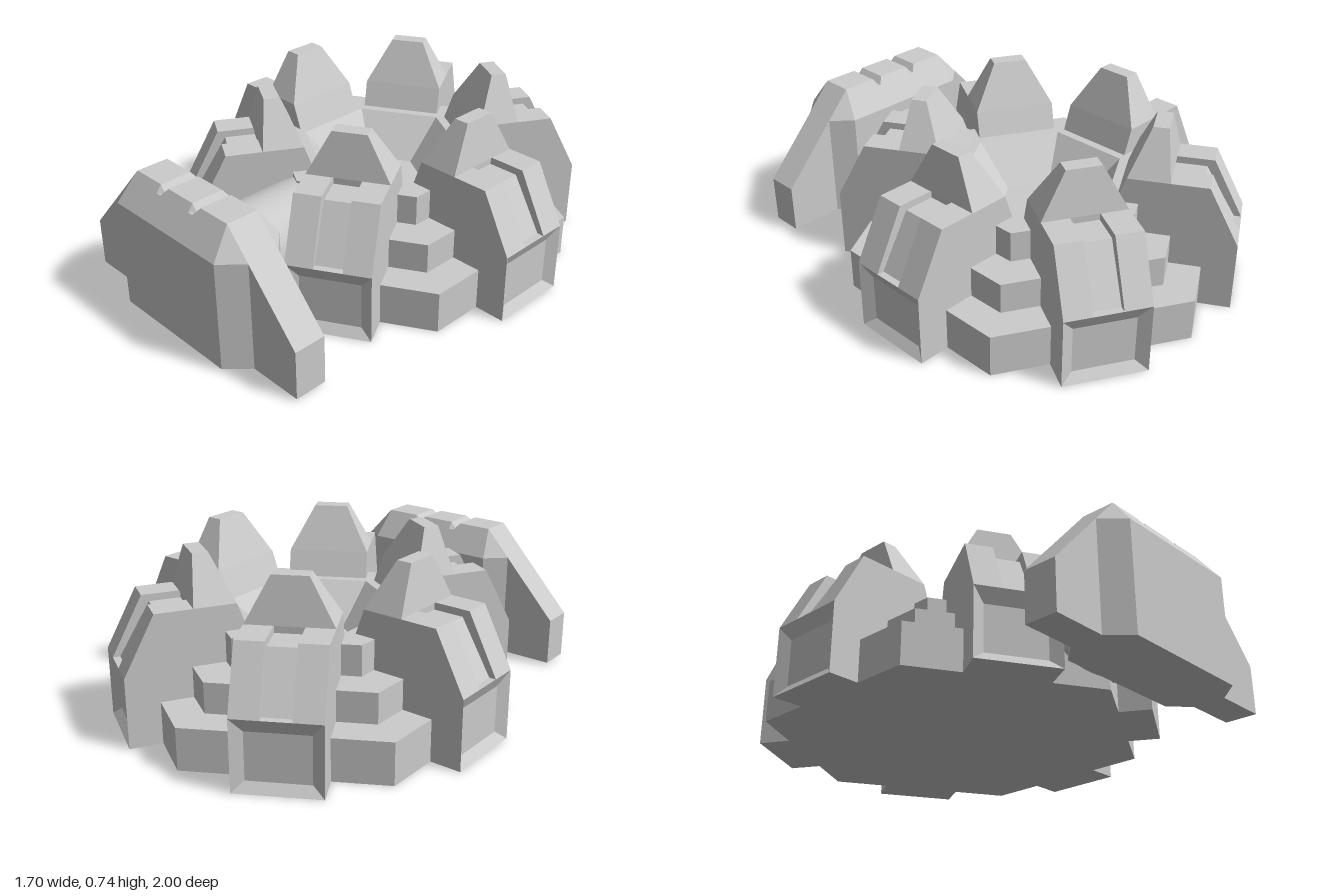
import * as THREE from 'three';

const flat = new THREE.MeshStandardMaterial({ color: 0xcccccc, flatShading: true });
const smooth = new THREE.MeshStandardMaterial({ color: 0xcccccc });

function add(parent, name, geometry, material = flat) {
  const mesh = new THREE.Mesh(geometry, material);
  mesh.name = name;
  parent.add(mesh);
  return mesh;
}

// Closed solid through rings of points, each counter-clockwise seen from the far end
function loft(rings) {
  const pos = [];
  const tri = (a, b, c) => pos.push(...a, ...b, ...c);
  const n = rings[0].length;
  for (let s = 0; s < rings.length - 1; s++) {
    const a = rings[s], b = rings[s + 1];
    for (let i = 0; i < n; i++) {
      const j = (i + 1) % n;
      tri(a[i], a[j], b[j]);
      tri(a[i], b[j], b[i]);
    }
  }
  const first = rings[0], last = rings[rings.length - 1];
  for (let i = 1; i < n - 1; i++) {
    tri(first[0], first[i + 1], first[i]);
    tri(last[0], last[i], last[i + 1]);
  }
  const g = new THREE.BufferGeometry();
  g.setAttribute('position', new THREE.Float32BufferAttribute(pos, 3));
  g.computeVertexNormals();
  return g;
}

// Outline in x, y given a thickness from z0 to z1
function slab(points, z0, z1) {
  const shape = new THREE.Shape(points.map(([x, y]) => new THREE.Vector2(x, y)));
  return new THREE.ExtrudeGeometry(shape, { depth: z1 - z0, bevelEnabled: false }).translate(0, 0, z0);
}

// One buttress, pointing along +x
function createButtress() {
  const g = new THREE.Group();
  g.name = 'buttress';
  const w = 0.175;

  // Foot with a bevelled recess in its outer face
  const endRing = (x, y0, y1, h) => [[x, y0, h], [x, y0, -h], [x, y1, -h], [x, y1, h]];
  add(g, 'foot', loft([
    endRing(0.35, 0, 0.3, w), endRing(0.85, 0, 0.3, w), endRing(0.82, 0.04, 0.24, 0.127),
  ]));

  // Two raised ribs with a lower strip between them
  const rib = [[0.35, 0.3], [0.85, 0.3], [0.72, 0.55], [0.39, 0.55], [0.35, 0.44]];
  add(g, 'ribLeft', slab(rib, 0.06, w));
  add(g, 'ribRight', slab(rib, -w, -0.06));
  add(g, 'middleStrip', slab([
    [0.35, 0.3], [0.82, 0.3], [0.69, 0.52], [0.56, 0.52], [0.56, 0.55], [0.39, 0.55], [0.35, 0.44],
  ], -0.06, 0.06));

  // Tapered peak
  const levelRing = (y, x0, x1, h) => [[x0, y, h], [x1, y, h], [x1, y, -h], [x0, y, -h]];
  add(g, 'peak', loft([levelRing(0.55, 0.39, 0.565, w), levelRing(0.74, 0.47, 0.535, 0.073)]));
  return g;
}

// Gate block at the front, with side wings and a notched ridge
function createGate() {
  const g = new THREE.Group();
  g.name = 'gate';
  const bottom = 0.01, shoulder = 0.48;
  const notch = [[0.125, 0], [0.1, 1], [0.075, 0], [-0.075, 0], [-0.1, 1], [-0.125, 0]];

  // t = 0 at the end faces, t = 1 at the ridge
  const ring = (z, t) => {
    const top = shoulder + 0.12 * t;
    const side = 0.305 + 0.085 * t;
    const ridge = 0.305 - 0.025 * t;
    const cut = Math.max(0, top - 0.57);
    return [
      [-side, bottom], [side, bottom], [side, shoulder], [ridge, top],
      ...notch.map(([x, d]) => [x, top - d * cut]),
      [-ridge, top], [-side, shoulder],
    ].map(([x, y]) => [x, y, z]);
  };
  add(g, 'gateBody', loft([
    ring(0.69, 0), ring(0.75, 0.75), ring(0.77, 1), ring(0.91, 1), ring(0.9325, 0.75), ring(1, 0),
  ]));

  for (const s of [1, -1]) {
    const outline = [[0.3, bottom], [0.63, bottom], [0.63, 0.22], [0.39, shoulder], [0.3, 0.578]];
    add(g, s > 0 ? 'wingLeft' : 'wingRight', slab(outline.map(([x, y]) => [s * x, y]), 0.77, 0.91));
  }
  return g;
}

export function createModel() {
  const model = new THREE.Group();
  model.name = 'hexagonalBunker';

  const hub = new THREE.Group();
  hub.name = 'hub';
  hub.position.z = -0.175;
  model.add(hub);

  // Three hexagonal steps around a sunken basin
  const profile = [
    [0, 0], [0.825, 0], [0.825, 0.18], [0.67, 0.18], [0.67, 0.31],
    [0.51, 0.31], [0.51, 0.44], [0.36, 0.44], [0.19, 0.27], [0, 0.27],
  ].map(([r, y]) => new THREE.Vector2(r, y));
  add(hub, 'steppedBase', new THREE.LatheGeometry(profile, 6));

  // Six buttresses, one on each side of the hexagon
  for (let i = 0; i < 6; i++) {
    const buttress = createButtress();
    buttress.rotation.y = (i * Math.PI) / 3;
    hub.add(buttress);
  }

  // Round passage joining the hub to the gate
  const passage = add(model, 'passage', new THREE.CylinderGeometry(0.19, 0.19, 0.46, 48), smooth);
  passage.rotation.x = Math.PI / 2;
  passage.position.set(0, 0.24, 0.47);

  model.add(createGate());
  return model;
}
